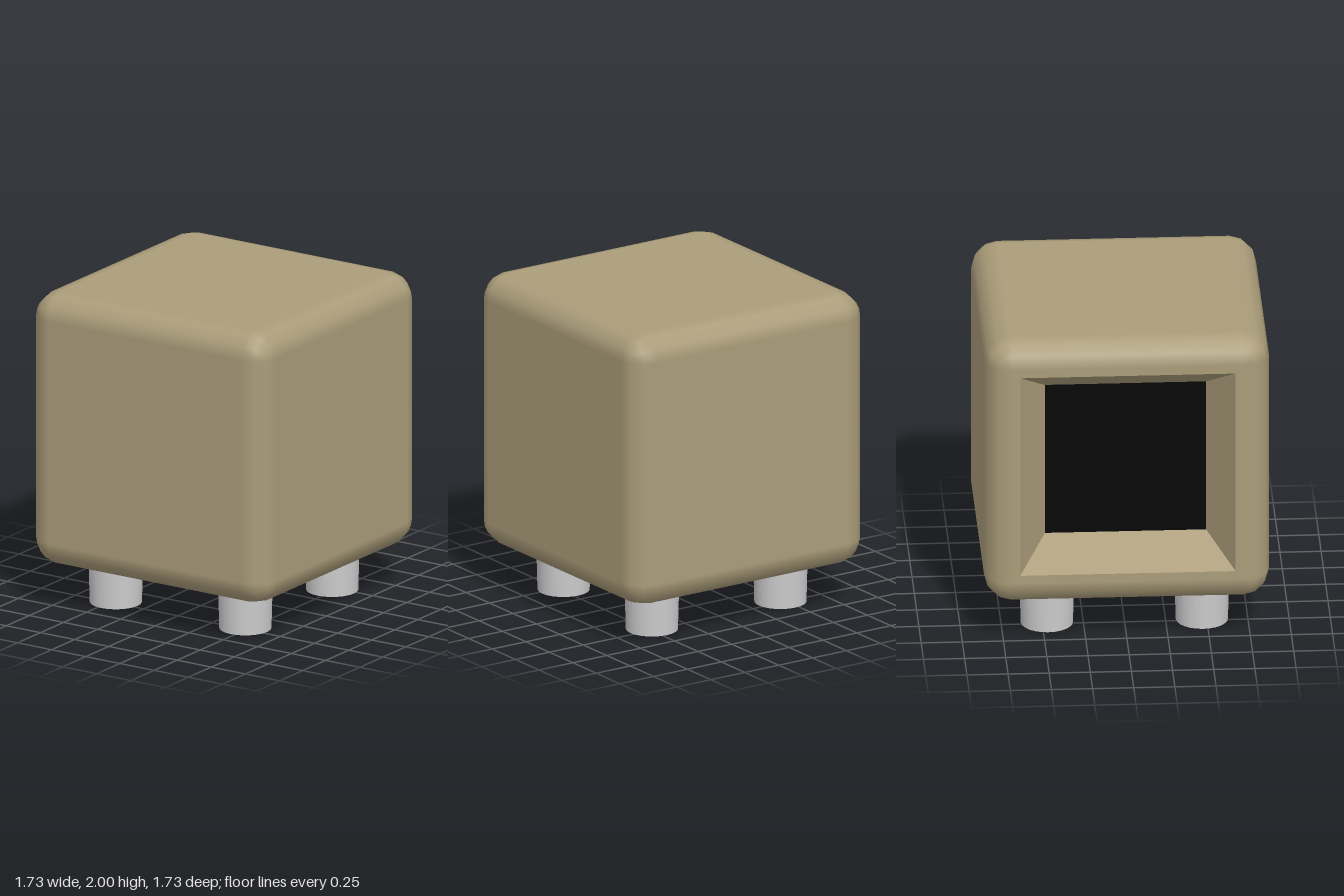
import * as THREE from 'three';

const HALF = 0.866;       // half size of the cube body
const RADIUS = 0.16;      // rounded edge radius
const CORE = HALF - RADIUS;
const STEPS = 3;          // segments per rounded edge
const CENTER_Y = 2 - HALF;
const OPENING = 0.654;    // half size of the recess mouth
const PANEL = 0.49;       // half size of the panel at its bottom
const DEPTH = 0.267;      // depth of the recess

// Rounded cube lofted along x, closed at +x and open at -x
function roundedShell() {
  const positions = [], normals = [], index = [];
  const perRing = 4 * (STEPS + 1), rings = 2 * (STEPS + 1);
  for (let i = 0; i < rings; i++) {
    const side = i <= STEPS ? 1 : -1;
    const step = i <= STEPS ? STEPS - i : STEPS + 1 - i;
    const phi = (step / STEPS) * Math.PI / 2;
    for (let corner = 0; corner < 4; corner++) {
      const mid = (corner + 0.5) * Math.PI / 2;
      for (let k = 0; k <= STEPS; k++) {
        const t = (corner + k / STEPS) * Math.PI / 2;
        const n = [Math.sin(phi), Math.cos(phi) * Math.cos(t), Math.cos(phi) * Math.sin(t)];
        normals.push(...n);
        positions.push(
          side * CORE + RADIUS * n[0],
          Math.sign(Math.cos(mid)) * CORE + RADIUS * n[1],
          Math.sign(Math.sin(mid)) * CORE + RADIUS * n[2]
        );
      }
    }
  }
  for (let i = 0; i < rings - 1; i++) {
    for (let j = 0; j < perRing; j++) {
      const next = (j + 1) % perRing;
      const a = i * perRing + j, c = i * perRing + next;
      index.push(a, a + perRing, c, a + perRing, c + perRing, c);
    }
  }
  const q = STEPS + 1;
  index.push(0, q, 2 * q, 0, 2 * q, 3 * q);
  const geometry = new THREE.BufferGeometry();
  geometry.setAttribute('position', new THREE.Float32BufferAttribute(positions, 3));
  geometry.setAttribute('normal', new THREE.Float32BufferAttribute(normals, 3));
  geometry.setIndex(index);
  return geometry;
}

function squarePath(path, s) {
  path.moveTo(-s, -s);
  path.lineTo(s, -s);
  path.lineTo(s, s);
  path.lineTo(-s, s);
  path.closePath();
  return path;
}

// Four sloping walls facing inward, narrowing toward +x
function recessWalls() {
  const cone = new THREE.CylinderGeometry(
    PANEL * Math.SQRT2, OPENING * Math.SQRT2, DEPTH, 4, 1, true);
  cone.rotateY(Math.PI / 4);
  cone.rotateZ(-Math.PI / 2);
  cone.scale(1, 1, -1); // mirroring turns the faces inward
  const walls = cone.toNonIndexed();
  walls.computeVertexNormals();
  return walls;
}

export function createModel() {
  const model = new THREE.Group();
  model.name = 'cubeCabinet';
  const tan = new THREE.MeshStandardMaterial({ color: 0xab9d7a });
  const black = new THREE.MeshStandardMaterial({ color: 0x060606 });
  const grey = new THREE.MeshStandardMaterial({ color: 0xcccccc });

  const add = (name, geometry, material, x, y, z, parent = model) => {
    const mesh = new THREE.Mesh(geometry, material);
    mesh.name = name;
    mesh.position.set(x, y, z);
    parent.add(mesh);
  };

  // Body
  add('body', roundedShell(), tan, 0, CENTER_Y, 0);

  // Flat rim around the recess on the -x side
  const rim = squarePath(new THREE.Shape(), CORE);
  rim.holes.push(squarePath(new THREE.Path(), OPENING));
  const rimGeometry = new THREE.ShapeGeometry(rim);
  rimGeometry.rotateY(-Math.PI / 2);
  add('recessRim', rimGeometry, tan, -HALF, CENTER_Y, 0);

  // Sloping walls and dark panel of the recess
  add('recessWalls', recessWalls(), tan, -HALF + DEPTH / 2, CENTER_Y, 0);
  const panel = new THREE.PlaneGeometry(2 * PANEL, 2 * PANEL);
  panel.rotateY(-Math.PI / 2);
  add('recessPanel', panel, black, -HALF + DEPTH, CENTER_Y, 0);

  // Tapered feet with a hollow underneath
  const outer = new THREE.CylinderGeometry(0.167, 0.159, 0.3, 24, 1, true);
  const sole = new THREE.RingGeometry(0.105, 0.159, 24);
  sole.rotateX(Math.PI / 2);
  const hollow = new THREE.LatheGeometry(
    [new THREE.Vector2(0.08, 0.07), new THREE.Vector2(0.105, 0)], 24);
  const plug = new THREE.CircleGeometry(0.08, 24);
  plug.rotateX(Math.PI / 2);
  const greyInside = new THREE.MeshStandardMaterial({ color: 0xcccccc, side: THREE.DoubleSide });
  for (const x of [-0.474, 0.474]) {
    for (const z of [-0.471, 0.471]) {
      const foot = new THREE.Group();
      foot.name = (z > 0 ? 'front' : 'back') + (x > 0 ? 'Left' : 'Right') + 'Foot';
      foot.position.set(x, 0, z);
      add('footSide', outer, grey, 0, 0.15, 0, foot);
      add('footSole', sole, grey, 0, 0, 0, foot);
      add('footHollow', hollow, greyInside, 0, 0, 0, foot);
      add('footPlug', plug, black, 0, 0.07, 0, foot);
      model.add(foot);
    }
  }
  return model;
}
